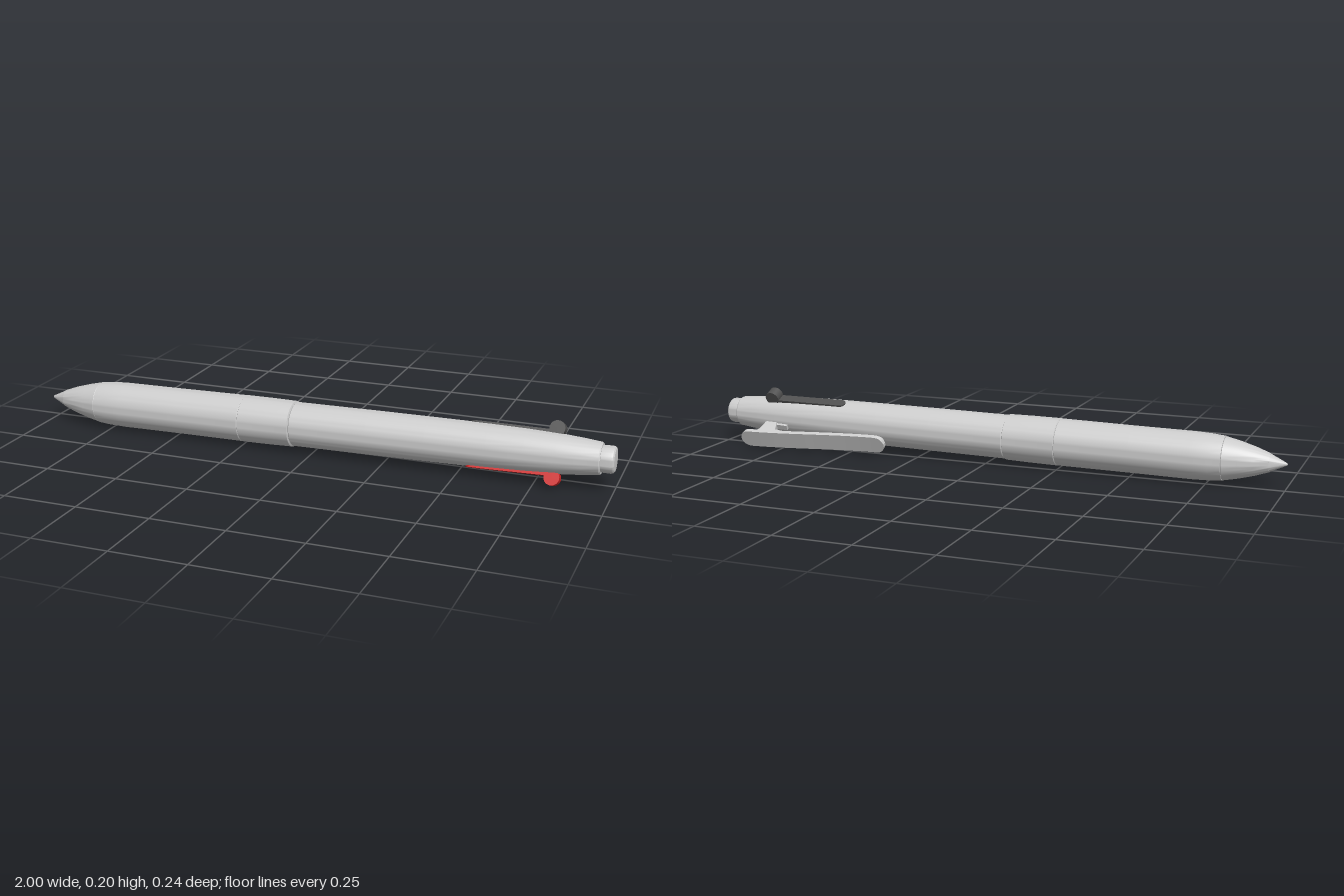
import * as THREE from 'three';
import { toCreasedNormals } from 'three/addons/utils/BufferGeometryUtils.js';

const material = (name, color) => {
  const m = new THREE.MeshStandardMaterial({ color });
  m.name = name;
  return m;
};

// Turned part along x; points are [x, radius]
function turned(points) {
  const g = new THREE.LatheGeometry(points.map(([x, r]) => new THREE.Vector2(r, x)), 56);
  g.rotateZ(-Math.PI / 2);
  return toCreasedNormals(g, 0.5);
}

// Bar with rounded ends; its top follows topAt(x)
function roundedBar(x0, x1, width, thick, topAt) {
  const g = new THREE.BoxGeometry(1, 1, 1, 40, 1, 1);
  const p = g.attributes.position, h = width / 2;
  for (let i = 0; i < p.count; i++) {
    const x = x0 + (x1 - x0) * (0.5 + 0.5 * Math.sin(Math.PI * p.getX(i)));
    const d = Math.min(x - x0, x1 - x);
    const half = d < h ? Math.max(Math.sqrt(Math.max(h * h - (h - d) ** 2, 0)), h * 0.2) : h;
    const y = topAt(x) + (p.getY(i) - 0.5) * thick;
    p.setXYZ(i, x, y, p.getZ(i) * 2 * half);
  }
  g.computeVertexNormals();
  return g;
}

// Side profile given width across z
function slab(points, width) {
  const shape = new THREE.Shape(points.map(([x, y]) => new THREE.Vector2(x, y)));
  const g = new THREE.ExtrudeGeometry(shape, { depth: width, bevelEnabled: false });
  g.translate(0, 0, -width / 2);
  return g;
}

export function createModel() {
  const grey = material('light grey', 0xcccccc);
  const dark = material('dark grey', 0x505050);
  const red = material('red', 0xd62828);

  const model = new THREE.Group();
  model.name = 'pen';
  const pen = new THREE.Group();
  pen.name = 'penBody';
  pen.position.set(0, 0.09, 0.039);
  pen.rotation.z = 0.0135;
  model.add(pen);

  const add = (parent, name, geometry, mat) => {
    const mesh = new THREE.Mesh(geometry, mat);
    mesh.name = name;
    parent.add(mesh);
    return mesh;
  };

  // Barrel sections from tip to end
  add(pen, 'point', turned([[-1, 0], [-0.998, 0.004], [-0.945, 0.029], [-0.943, 0.026]]), grey);
  add(pen, 'tipCone', turned([[-0.945, 0.024], [-0.945, 0.030], [-0.9, 0.046], [-0.85, 0.060],
    [-0.802, 0.0705], [-0.80, 0.069]]), grey);
  add(pen, 'grip', turned([[-0.80, 0.068], [-0.80, 0.0715], [-0.76, 0.0755], [-0.7, 0.0775],
    [-0.5, 0.0775], [-0.252, 0.0785], [-0.25, 0.0765]]), grey);
  add(pen, 'collar', turned([[-0.25, 0.0765], [-0.248, 0.079], [-0.15, 0.0785], [-0.07, 0.077],
    [-0.067, 0.071]]), grey);
  add(pen, 'upperBarrel', turned([[-0.067, 0.071], [-0.064, 0.074], [0.2, 0.0738], [0.4, 0.073], [0.6, 0.0715],
    [0.72, 0.069], [0.82, 0.0645], [0.9, 0.058], [0.953, 0.052], [0.957, 0.049], [0.957, 0.03]]), grey);
  add(pen, 'endCap', turned([[0.95, 0.043], [0.988, 0.044], [0.995, 0.042], [0.999, 0.037], [1, 0.03], [1, 0]]), grey);

  // Two sliders on opposite sides, the clip between them
  const around = (name, degrees) => {
    const g = new THREE.Group();
    g.name = name;
    g.rotation.x = -THREE.MathUtils.degToRad(degrees);
    pen.add(g);
    return g;
  };
  for (const [name, degrees, mat] of [['darkSlider', 24, dark], ['redSlider', 204, red]]) {
    const slider = around(name, degrees);
    add(slider, 'sliderPlate', roundedBar(0.53, 0.83, 0.034, 0.012, x => 0.0755 - 0.012 * Math.max(0, x - 0.6)), mat);
    const knob = new THREE.CylinderGeometry(0.025, 0.025, 0.036, 32);
    knob.rotateX(Math.PI / 2);
    add(slider, 'sliderKnob', knob, mat).position.set(0.81, 0.078, 0);
  }

  const clip = around('clip', 114);
  const clipTop = x => 0.12 + 0.038 * THREE.MathUtils.smoothstep(x, 0.34, 0.9);
  add(clip, 'clipPlate', roundedBar(0.345, 0.88, 0.062, 0.015, clipTop), grey);
  // Narrow rib with the gripping bump under the plate
  add(clip, 'clipRib', roundedBar(0.355, 0.86, 0.036, 0.015, x => clipTop(x) - 0.013), grey);
  add(clip, 'clipBump', slab([[0.36, 0.11], [0.362, 0.095], [0.375, 0.089], [0.40, 0.091], [0.48, 0.106], [0.48, 0.112]], 0.03), grey);
  add(clip, 'clipPost', slab([[0.66, 0.13], [0.72, 0.112], [0.77, 0.106], [0.785, 0.06], [0.825, 0.058],
    [0.83, 0.108], [0.85, 0.14]], 0.024), grey);
  add(clip, 'clipFoot', slab([[0.74, 0.06], [0.83, 0.056], [0.83, 0.072], [0.74, 0.077]], 0.018), grey);

  return model;
}
